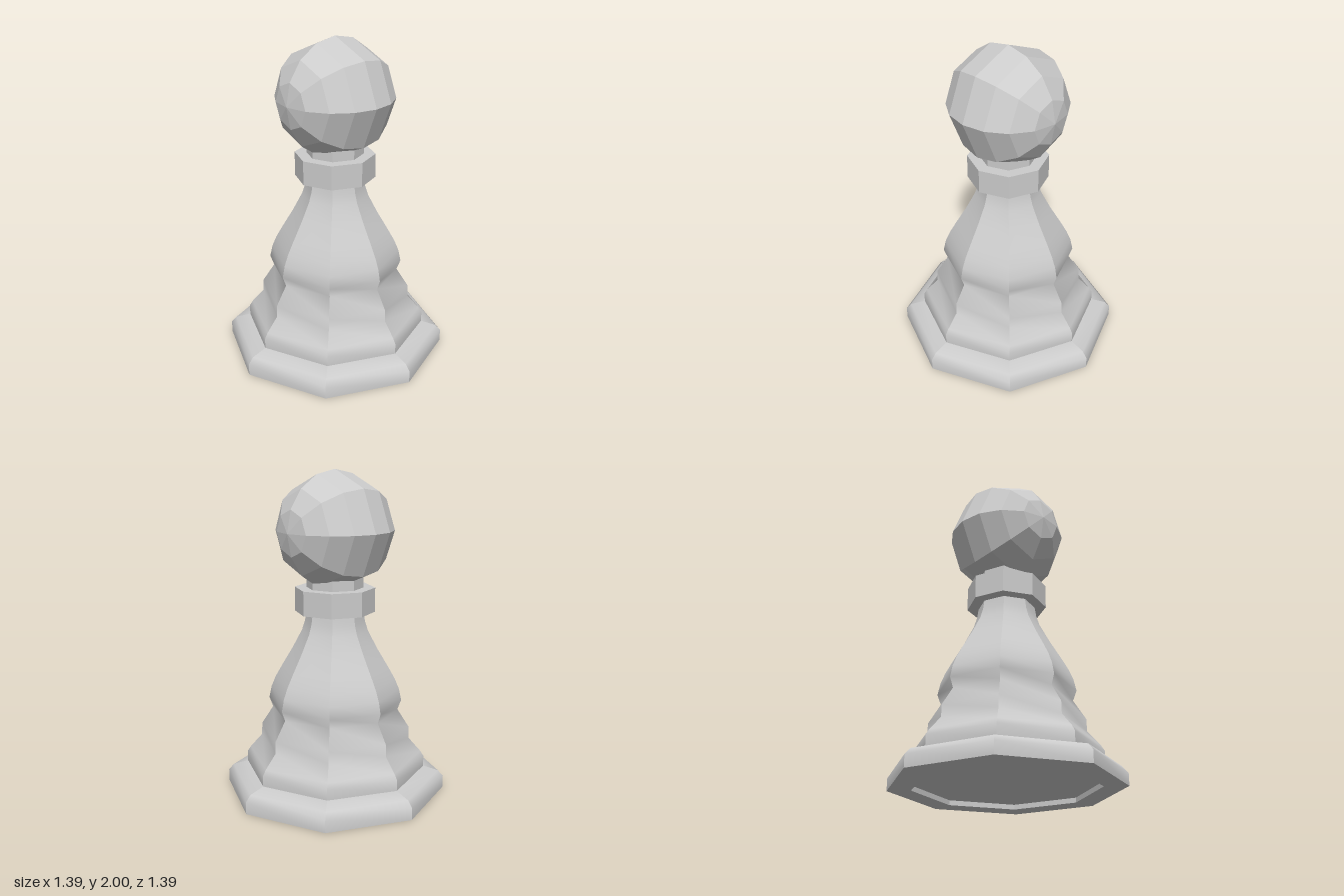
import * as THREE from 'three';
import { mergeGeometries, toCreasedNormals } from 'three/addons/utils/BufferGeometryUtils.js';

const SIDES = 8;

// Eight-sided turning: smooth along the profile, sharp between the sides
function facetedLathe(profile) {
  const points = profile.map(([r, y]) => new THREE.Vector2(r, y));
  const step = (Math.PI * 2) / SIDES;
  const sectors = [];
  for (let i = 0; i < SIDES; i++) {
    const sector = new THREE.LatheGeometry(points, 1, i * step, step);
    sectors.push(toCreasedNormals(sector, THREE.MathUtils.degToRad(50)));
  }
  return mergeGeometries(sectors);
}

export function createModel() {
  const group = new THREE.Group();
  const smooth = new THREE.MeshStandardMaterial({ color: 0xcccccc });
  const flat = new THREE.MeshStandardMaterial({ color: 0xcccccc, flatShading: true });

  function add(name, geometry, material, y = 0) {
    const mesh = new THREE.Mesh(geometry, material);
    mesh.name = name;
    mesh.position.y = y;
    group.add(mesh);
    return mesh;
  }

  // Foot with a shallow recess underneath
  add('base', facetedLathe([
    [0, 0.03], [0.55, 0.03], [0.55, 0], [0.693, 0],
    [0.693, 0.075], [0.66, 0.112], [0.566, 0.14], [0.5, 0.14],
  ]), smooth);

  // Stepped, tapering body
  add('body', facetedLathe([
    [0.566, 0.14], [0.566, 0.206], [0.545, 0.24], [0.47, 0.325],
    [0.468, 0.4], [0.395, 0.515], [0.418, 0.577], [0.402, 0.65],
    [0.375, 0.715], [0.333, 0.79], [0.265, 0.905], [0.205, 1.02],
    [0.186, 1.08], [0.175, 1.15],
  ]), smooth);

  // Collar and the short neck above it
  add('collar', new THREE.CylinderGeometry(0.247, 0.247, 0.15, SIDES), flat, 1.215);
  add('neck', new THREE.CylinderGeometry(0.175, 0.175, 0.15, SIDES), flat, 1.345);

  // Faceted ball with its poles facing front and back
  const head = add('head', new THREE.SphereGeometry(0.361, SIDES, 8), flat, 1.639);
  head.rotation.x = Math.PI / 2;

  return group;
}
